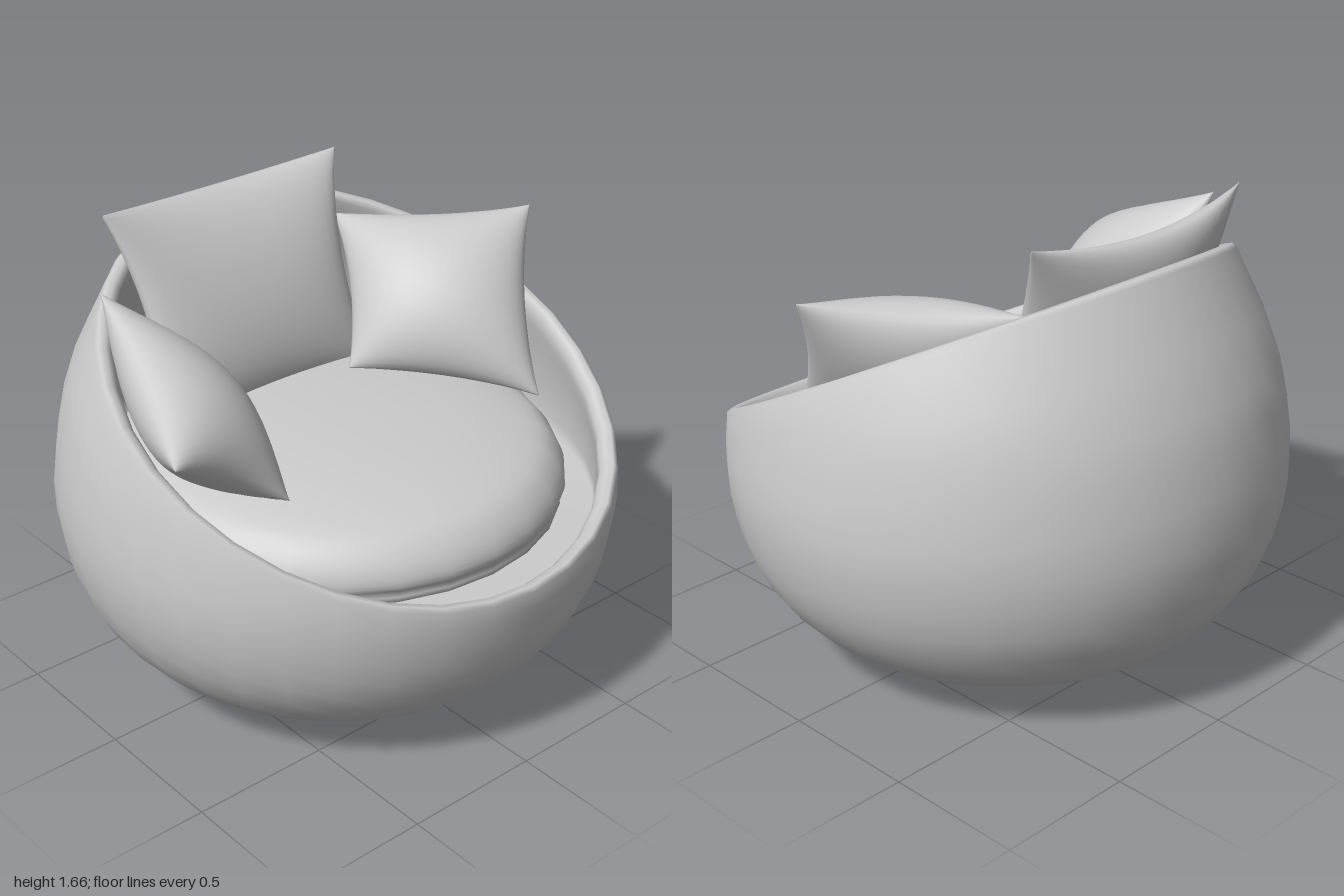
import * as THREE from 'three';
import { mergeGeometries, mergeVertices } from 'three/addons/utils/BufferGeometryUtils.js';

const V = (x, y, z) => new THREE.Vector3(x, y, z);
const material = new THREE.MeshStandardMaterial({ color: 0xcccccc, roughness: 0.9 });

function part(name, geometry) {
  const mesh = new THREE.Mesh(geometry, material);
  mesh.name = name;
  return mesh;
}

// weld seams and poles, then shade smoothly
function smooth(geometry) {
  geometry.deleteAttribute('uv');
  geometry.deleteAttribute('normal');
  const welded = mergeVertices(geometry, 1e-4);
  welded.computeVertexNormals();
  return welded;
}

// outer bowl profile (radius, height)
const profile = new THREE.SplineCurve([
  [0, 0], [0.33, 0.022], [0.67, 0.112], [0.83, 0.23], [0.935, 0.39], [0.985, 0.57],
  [0.998, 0.75], [0.965, 0.98], [0.9, 1.2], [0.73, 1.54], [0.66, 1.66],
].map(([r, y]) => new THREE.Vector2(r, y)));

// profile parameter where test(point) first becomes true
function findT(test) {
  let lo = 0, hi = 1;
  for (let i = 0; i < 30; i++) {
    const mid = (lo + hi) / 2;
    if (test(profile.getPoint(mid))) hi = mid; else lo = mid;
  }
  return hi;
}

// hollow round bowl cut by a plane rising to the back, with a soft lip
function bowlGeometry() {
  const segments = 36, outer = 14, inner = 7, floor = 0.62;
  const rows = outer + 1 + 3 + inner + 1;
  const dummy = Array.from({ length: rows }, (_, j) => new THREE.Vector2(1, j));
  const geometry = new THREE.LatheGeometry(dummy, segments);
  const pos = geometry.attributes.position;
  for (let i = 0; i <= segments; i++) {
    const a = (i / segments) * Math.PI * 2;
    const tRim = findT((p) => p.y > 0.69 + (1 - p.x * Math.cos(a)) * 0.4855);
    const rim = profile.getPoint(tRim);
    const section = [];
    for (let j = 0; j <= outer; j++) section.push(profile.getPoint(tRim * j / outer));
    section.push(new THREE.Vector2(rim.x - 0.015, rim.y + 0.012));
    section.push(new THREE.Vector2(rim.x - 0.04, rim.y + 0.01));
    section.push(new THREE.Vector2(rim.x - 0.06, rim.y - 0.012));
    for (let j = 1; j <= inner; j++) {
      const y = THREE.MathUtils.lerp(rim.y - 0.012, floor, j / inner);
      const r = profile.getPoint(findT((p) => p.y > y)).x;
      section.push(new THREE.Vector2(r - 0.07, y));
    }
    section.push(new THREE.Vector2(0, floor));
    section.forEach((p, j) =>
      pos.setXYZ(i * rows + j, p.x * Math.sin(a), p.y, p.x * Math.cos(a)));
  }
  return smooth(geometry);
}

// round seat pad, slightly higher towards the back
function seatGeometry() {
  const curve = new THREE.SplineCurve([
    [0, 0.63], [0.72, 0.64], [0.8, 0.69], [0.815, 0.75], [0.78, 0.83],
    [0.7, 0.895], [0.5, 0.94], [0.25, 0.96], [0, 0.965],
  ].map(([r, y]) => new THREE.Vector2(r, y)));
  const points = curve.getPoints(28);
  points[0].x = points[28].x = 0;
  const geometry = new THREE.LatheGeometry(points, 28);
  const pos = geometry.attributes.position;
  for (let i = 0; i < pos.count; i++) {
    if (pos.getY(i) > 0.7) pos.setY(i, pos.getY(i) - pos.getZ(i) * 0.035 * (pos.getY(i) - 0.7) / 0.26);
  }
  return smooth(geometry);
}

// stuffed pillow stretched between four corners; edges pinch in, bow bends it backwards
function pillowGeometry([tl, tr, bl, br], thickness, { pinchX = 0.1, pinchY = 0.08, bow = 0 } = {}) {
  const normal = tr.clone().sub(bl).cross(tl.clone().sub(br)).normalize();
  const halves = [1, -1].map((side) => {
    const g = new THREE.PlaneGeometry(2, 2, 20, 20);
    if (side < 0) g.rotateY(Math.PI);
    const pos = g.attributes.position;
    for (let i = 0; i < pos.count; i++) {
      const u = Math.sin(pos.getX(i) * Math.PI / 2), v = Math.sin(pos.getY(i) * Math.PI / 2);
      const fu = Math.max(0, 1 - u * u), fv = Math.max(0, 1 - v * v);
      const s = (u * (1 - pinchX * fv) + 1) / 2, t = (v * (1 - pinchY * fu) + 1) / 2;
      const p = bl.clone().lerp(br, s).lerp(tl.clone().lerp(tr, s), t);
      p.addScaledVector(normal, side * thickness * Math.pow(fu * fv, 0.55) - bow * fu * (0.4 + 0.6 * t));
      pos.setXYZ(i, p.x, p.y, p.z);
    }
    return g;
  });
  return smooth(mergeGeometries(halves));
}

export function createModel() {
  const group = new THREE.Group();
  group.name = 'roundArmchair';
  group.add(part('bowlShell', bowlGeometry()));
  group.add(part('seatCushion', seatGeometry()));
  // corners: top left, top right, bottom left, bottom right as seen from the pillow's face
  group.add(part('backPillow', pillowGeometry(
    [V(-0.58, 1.665, -0.53), V(0.45, 1.665, -0.54), V(-0.53, 0.92, -0.27), V(0.4, 0.92, -0.27)],
    0.14, { pinchX: 0.12, pinchY: 0.04, bow: 0.1 })));
  group.add(part('rightPillow', pillowGeometry(
    [V(-0.97, 1.23, 0.4), V(-0.77, 1.53, -0.27), V(-0.5, 0.93, 0.36), V(-0.36, 1.03, -0.27)], 0.17)));
  group.add(part('leftPillow', pillowGeometry(
    [V(0.41, 1.43, -0.5), V(0.93, 1.48, 0), V(0.18, 1.0, -0.14), V(0.66, 0.92, 0.35)], 0.17)));
  return group;
}
